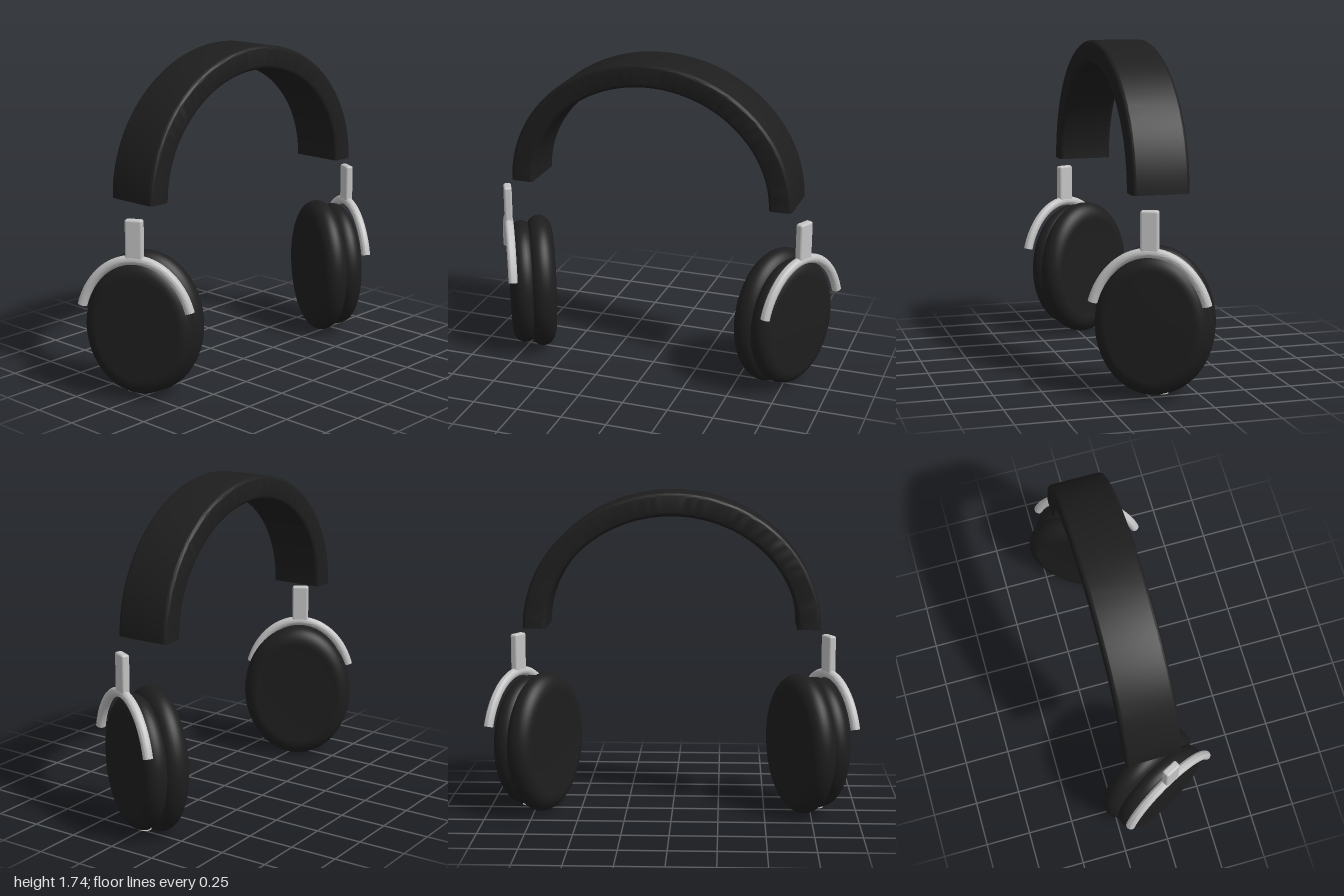
import * as THREE from 'three';
import { toCreasedNormals } from 'three/addons/utils/BufferGeometryUtils.js';
import { RoundedBoxGeometry } from 'three/addons/geometries/RoundedBoxGeometry.js';

const CUP_ANGLE = 1.093; // how far each cup's outer face turns from the front

// Half of an ellipse, from +x over the top to -x
class Arch extends THREE.Curve {
  constructor(a, b, start) {
    super();
    Object.assign(this, { a, b, start });
  }
  getPoint(t, target = new THREE.Vector3()) {
    const k = this.start + t * (Math.PI - 2 * this.start);
    return target.set(this.a * Math.cos(k), this.b * Math.sin(k), 0);
  }
}

// Capped sweep of a cross-section along an arch
function sweep(shape, path, steps, curveSegments) {
  const geo = new THREE.ExtrudeGeometry(shape, { steps, extrudePath: path, curveSegments });
  return toCreasedNormals(geo, 0.8);
}

function roundedRect(w, h, r) {
  const s = new THREE.Shape();
  const x = w / 2 - r, y = h / 2 - r;
  s.absarc(x, y, r, 0, Math.PI / 2);
  s.absarc(-x, y, r, Math.PI / 2, Math.PI);
  s.absarc(-x, -y, r, Math.PI, Math.PI * 1.5);
  s.absarc(x, -y, r, Math.PI * 1.5, Math.PI * 2);
  s.closePath();
  return s;
}

// Oval disc with a fully rounded rim, its axis along z; dish sinks the inner face
function ovalDisc(rx, ry, r, dish) {
  const pts = [new THREE.Vector2(0, -r + dish), new THREE.Vector2(rx - r - 0.05, -r + dish)];
  for (let i = 0; i <= 16; i++) {
    const k = -Math.PI / 2 + (i / 16) * Math.PI;
    pts.push(new THREE.Vector2(rx - r + r * Math.cos(k), r * Math.sin(k)));
  }
  pts.push(new THREE.Vector2(0, r));
  const geo = new THREE.LatheGeometry(pts, 72);
  geo.rotateX(Math.PI / 2);
  geo.scale(1, ry / rx, 1);
  return geo;
}

export function createModel() {
  const black = new THREE.MeshStandardMaterial({ color: 0x1e1e1e });
  black.name = 'matte black';
  const silver = new THREE.MeshStandardMaterial({ color: 0xc4c4c4 });
  silver.name = 'silver';

  const model = new THREE.Group();
  model.name = 'headphones';

  function add(parent, name, geo, mat, x, y, z) {
    const mesh = new THREE.Mesh(geo, mat);
    mesh.name = name;
    mesh.position.set(x, y, z);
    parent.add(mesh);
    return mesh;
  }

  // Headband
  const band = sweep(roundedRect(0.295, 0.125, 0.022), new Arch(0.7225, 0.653, 0), 72, 6);
  add(model, 'headband', band, black, 0, 1.03, -0.042);

  // Shared parts of the two ear cups
  const shell = ovalDisc(0.287, 0.356, 0.068, 0);
  const cushion = ovalDisc(0.305, 0.382, 0.073, 0.006);
  const circle = new THREE.Shape().absarc(0, 0, 0.025, 0, Math.PI * 2);
  const yoke = sweep(circle, new Arch(0.3, 0.373, 0.325), 48, 12);
  const stem = new RoundedBoxGeometry(0.092, 0.215, 0.043, 4, 0.012);
  const ring = new THREE.TorusGeometry(0.03, 0.003, 8, 32).rotateX(Math.PI / 2);

  for (const side of [1, -1]) {
    const cup = new THREE.Group();
    cup.name = side > 0 ? 'leftEarCup' : 'rightEarCup';
    cup.position.set(side * 0.78, 0.384, 0.006);
    cup.rotation.y = side * CUP_ANGLE;
    add(cup, 'shell', shell, black, 0, 0, 0);
    add(cup, 'cushion', cushion, black, 0, 0, -0.1);
    add(cup, 'yoke', yoke, silver, 0, 0, 0.068);
    add(cup, 'stem', stem, silver, 0, 0.475, 0.068);
    // Small port ring under the cup
    add(cup, 'portRing', ring, silver, side * 0.05, -0.349, -0.02);
    model.add(cup);
  }
  return model;
}
